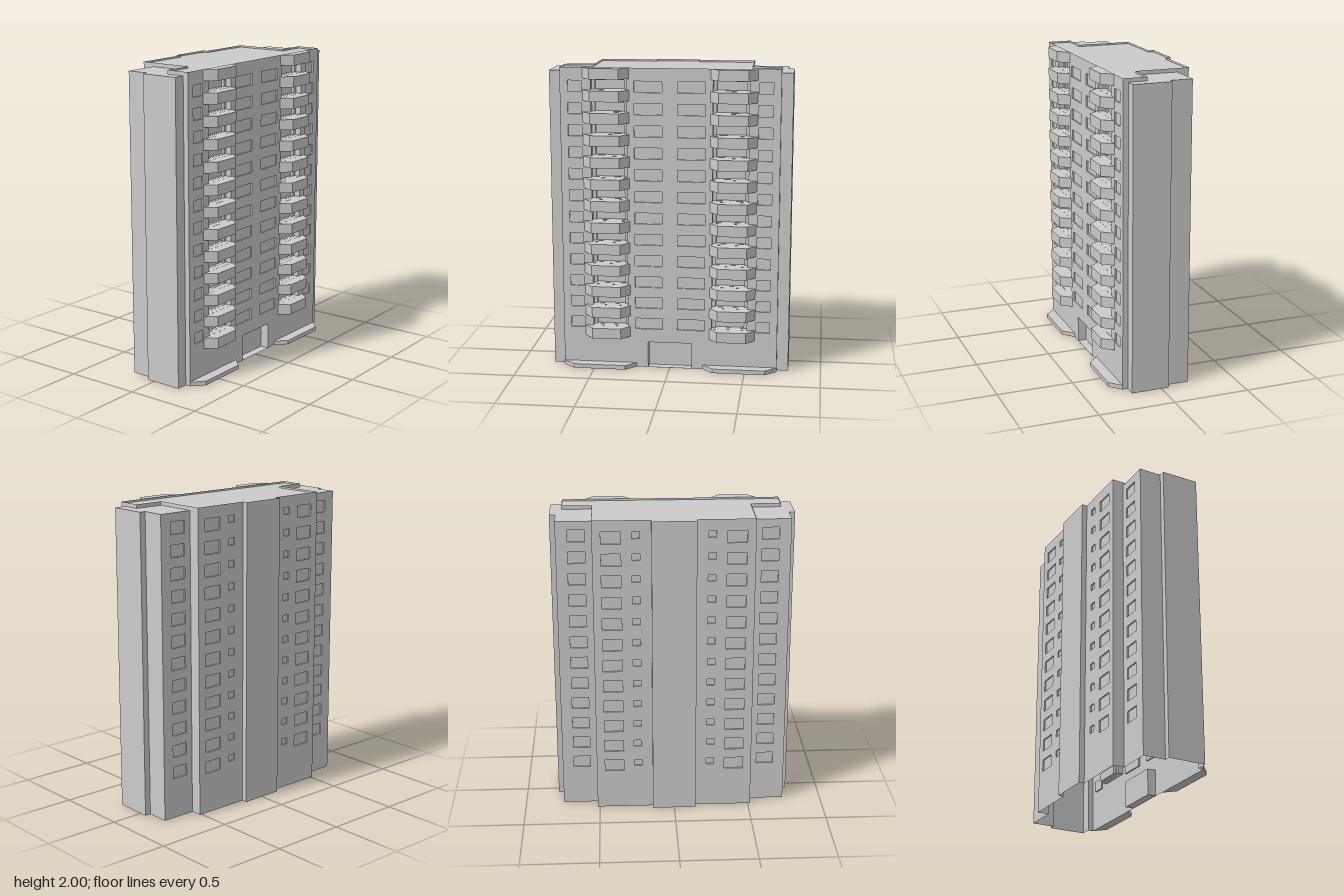
import * as THREE from 'three';
import { mergeGeometries } from 'three/addons/utils/BufferGeometryUtils.js';

const material = new THREE.MeshStandardMaterial({ color: 0xcccccc, flatShading: true, side: THREE.DoubleSide });
const TOP = 2, WING_TOP = 1.975, ROOF = 1.988;
const FLOORS = 12, PITCH = 0.1433, BAND = 0.07;

function rectPath(Type, r) {
  return new Type([[r.x0, r.y0], [r.x1, r.y0], [r.x1, r.y1], [r.x0, r.y1]].map(p => new THREE.Vector2(...p)));
}

// Rectangular panel with recesses; a recess may hold further recesses
function panel(r, z = 0, out = []) {
  const holes = r.holes || [];
  const shape = rectPath(THREE.Shape, r);
  shape.holes = holes.map(h => rectPath(THREE.Path, h));
  out.push(new THREE.ShapeGeometry(shape).translate(0, 0, z));
  for (const h of holes) {
    // four reveals only: the box keeps no front or back face
    const sides = new THREE.BoxGeometry(h.x1 - h.x0, h.y1 - h.y0, h.depth);
    sides.setIndex(Array.from(sides.index.array).slice(0, 24));
    sides.translate((h.x0 + h.x1) / 2, (h.y0 + h.y1) / 2, z - h.depth / 2);
    out.push(sides);
    panel(h, z - h.depth, out);
  }
  return out;
}

// Vertical wall between plan points [x, z]; outside is on the right of a -> b.
// Recess x positions are given in model coordinates.
function wall(name, a, b, y0, y1, holes = []) {
  const dx = b[0] - a[0], dz = b[1] - a[1], s = Math.sign(dx);
  const local = h => {
    const u = [(h.x0 - a[0]) * s, (h.x1 - a[0]) * s].sort((p, q) => p - q);
    return { ...h, x0: u[0], x1: u[1], holes: (h.holes || []).map(local) };
  };
  const parts = panel({ x0: 0, x1: Math.hypot(dx, dz), y0, y1, holes: holes.map(local) });
  const mesh = new THREE.Mesh(mergeGeometries(parts), material);
  mesh.name = name;
  mesh.position.set(a[0], 0, a[1]);
  mesh.rotation.y = Math.atan2(-dz, dx);
  return mesh;
}

const planShape = pts => new THREE.Shape(pts.map(([x, z]) => new THREE.Vector2(x, -z)));

// Flat roof over a plan outline
function roof(name, pts, y) {
  const mesh = new THREE.Mesh(new THREE.ShapeGeometry(planShape(pts)).rotateX(-Math.PI / 2), material);
  mesh.name = name;
  mesh.position.y = y;
  return mesh;
}

// Solid block over a plan outline
function prism(name, pts, y, height) {
  const geo = new THREE.ExtrudeGeometry(planShape(pts), { depth: height, bevelEnabled: false });
  const mesh = new THREE.Mesh(geo.rotateX(-Math.PI / 2), material);
  mesh.name = name;
  mesh.position.y = y;
  return mesh;
}

// One shallow window per floor
function windowColumn(x0, x1, drop0, drop1) {
  return Array.from({ length: FLOORS }, (_, i) => ({
    x0, x1, y0: TOP - drop1 - i * PITCH, y1: TOP - drop0 - i * PITCH, depth: 0.01,
  }));
}

const mirrored = pts => pts.map(([x, z]) => [-x, z]).reverse();

export function createModel() {
  const model = new THREE.Group();
  model.name = 'towerBlock';

  // Front wall: windows, loggias between the balconies, doorway
  const front = [{ x0: -0.145, x1: 0.145, y0: 0.001, y1: 0.175, depth: 0.057 }];
  for (const s of [-1, 1]) {
    front.push(...windowColumn(s * 0.05, s * 0.23, 0.085, 0.158));
    front.push(...windowColumn(s * 0.57, s * 0.66, 0.085, 0.158));
    for (let i = 0; i < FLOORS; i++) {
      const y1 = TOP - BAND - i * PITCH - 0.0005, y0 = TOP - (i + 1) * PITCH + 0.0005;
      front.push({
        x0: s * 0.278, x1: s * 0.51, y0, y1, depth: 0.04,
        holes: [{ x0: s * 0.3, x1: s * 0.488, y0: y0 + 0.001, y1: y1 - 0.014, depth: 0.02 }],
      });
    }
  }
  model.add(wall('frontWall', [-0.71, 0.235], [0.71, 0.235], 0, TOP, front));

  // Central back bay
  model.add(wall('backBay', [0.143, -0.31], [-0.143, -0.31], 0, TOP));

  for (const s of [-1, 1]) {
    const side = s > 0 ? 'left' : 'right';
    const group = new THREE.Group();
    group.name = side + 'Half';
    const add = (name, a, b, y0, y1, holes) => {
      const p = [a, b].map(([x, z]) => [s * x, z]);
      if (s < 0) p.reverse();
      group.add(wall(name, p[0], p[1], y0, y1, holes));
    };

    // Side walls, front to back
    add('frontReturn', [0.71, 0.235], [0.71, 0.2], 0, TOP);
    add('wingFront', [0.785, 0.2], [0.71, 0.2], 0, WING_TOP);
    add('wingSide', [0.785, 0.2], [0.785, -0.05], 0, WING_TOP);
    add('wingStep', [0.785, -0.05], [0.745, -0.05], 0, WING_TOP);
    add('wingRearSide', [0.745, -0.05], [0.745, -0.2], 0, WING_TOP);
    add('wingBack', [0.745, -0.2], [0.515, -0.2], 0, WING_TOP, windowColumn(s * 0.56, s * 0.67, 0.08, 0.158));
    add('coreSide', [0.515, -0.2], [0.515, -0.275], 0, TOP);
    add('coreBack', [0.515, -0.275], [0.143, -0.275], 0, TOP, [
      ...windowColumn(s * 0.335, s * 0.46, 0.075, 0.155),
      ...windowColumn(s * 0.215, s * 0.265, 0.075, 0.12),
    ]);
    add('backBaySide', [0.143, -0.275], [0.143, -0.31], 0, TOP);

    // Parapet standing above the wing roof
    add('parapetFront', [0.71, 0.2], [0.71, 0.08], WING_TOP, TOP);
    add('parapetBack', [0.71, 0.08], [0.515, 0.08], WING_TOP, TOP);
    add('parapetCore', [0.515, 0.08], [0.515, -0.2], WING_TOP, TOP);

    const wing = [[0.515, -0.2], [0.745, -0.2], [0.745, -0.05], [0.785, -0.05],
      [0.785, 0.2], [0.71, 0.2], [0.71, 0.08], [0.515, 0.08]];
    group.add(roof('wingRoof', s > 0 ? wing : mirrored(wing), WING_TOP));

    // Balconies with splayed ends, and the entrance plinth
    const balcony = [[0.262, 0.235], [0.318, 0.305], [0.507, 0.305], [0.563, 0.235]];
    const plinth = [[0.22, 0.235], [0.29, 0.305], [0.635, 0.305], [0.71, 0.235]];
    for (let i = 0; i <= FLOORS; i++) {
      group.add(prism('balcony', s > 0 ? balcony : mirrored(balcony), TOP - BAND - i * PITCH, BAND));
    }
    group.add(prism('plinth', s > 0 ? plinth : mirrored(plinth), 0, 0.028));
    model.add(group);
  }

  // Main roof, sunk slightly behind its rim
  const half = [[0.143, -0.31], [0.143, -0.275], [0.515, -0.275], [0.515, 0.08], [0.71, 0.08], [0.71, 0.235]];
  model.add(roof('mainRoof', [...half, ...mirrored(half)], ROOF));

  return model;
}
